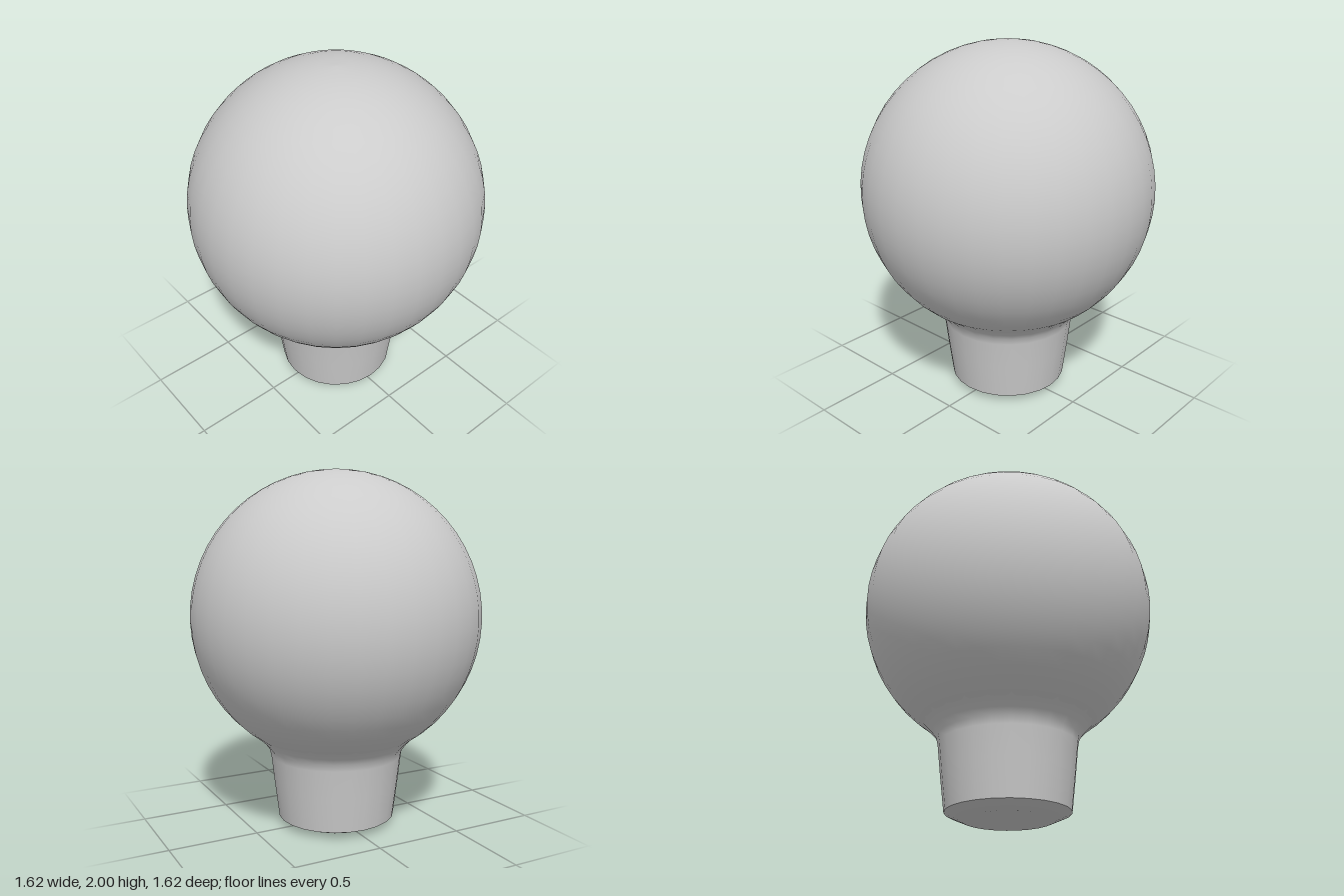
import * as THREE from 'three';

const material = new THREE.MeshStandardMaterial({ color: 0xcccccc });

// Revolve a profile of [radius, height] pairs, listed from bottom to top.
function lathe(name, profile, sides) {
  const points = profile.map(([r, y]) => new THREE.Vector2(r, y));
  const mesh = new THREE.Mesh(new THREE.LatheGeometry(points, sides), material);
  mesh.name = name;
  return mesh;
}

export function createModel() {
  const group = new THREE.Group();
  group.name = 'ballKnob';

  // Ball: an arc from the neck opening up to the pole
  const radius = 0.81, centerY = 1.19, steps = 24;
  const start = -Math.acos(0.45 / radius);
  const arc = [];
  for (let i = 0; i <= steps; i++) {
    const a = start + (Math.PI / 2 - start) * (i / steps);
    arc.push([i === steps ? 0 : radius * Math.cos(a), centerY + radius * Math.sin(a)]);
  }
  group.add(lathe('ball', arc, 36));

  // Tapered neck with a small flare that blends into the ball
  group.add(lathe('neck', [
    [0.333, 0.04], [0.358, 0.24], [0.376, 0.4], [0.385, 0.44],
    [0.41, 0.475], [0.455, 0.52], [0.5, 0.56],
  ], 24));

  // Shallow chamfered foot, closed underneath
  group.add(lathe('foot', [[0, 0], [0.24, 0], [0.333, 0.04]], 24));

  return group;
}
